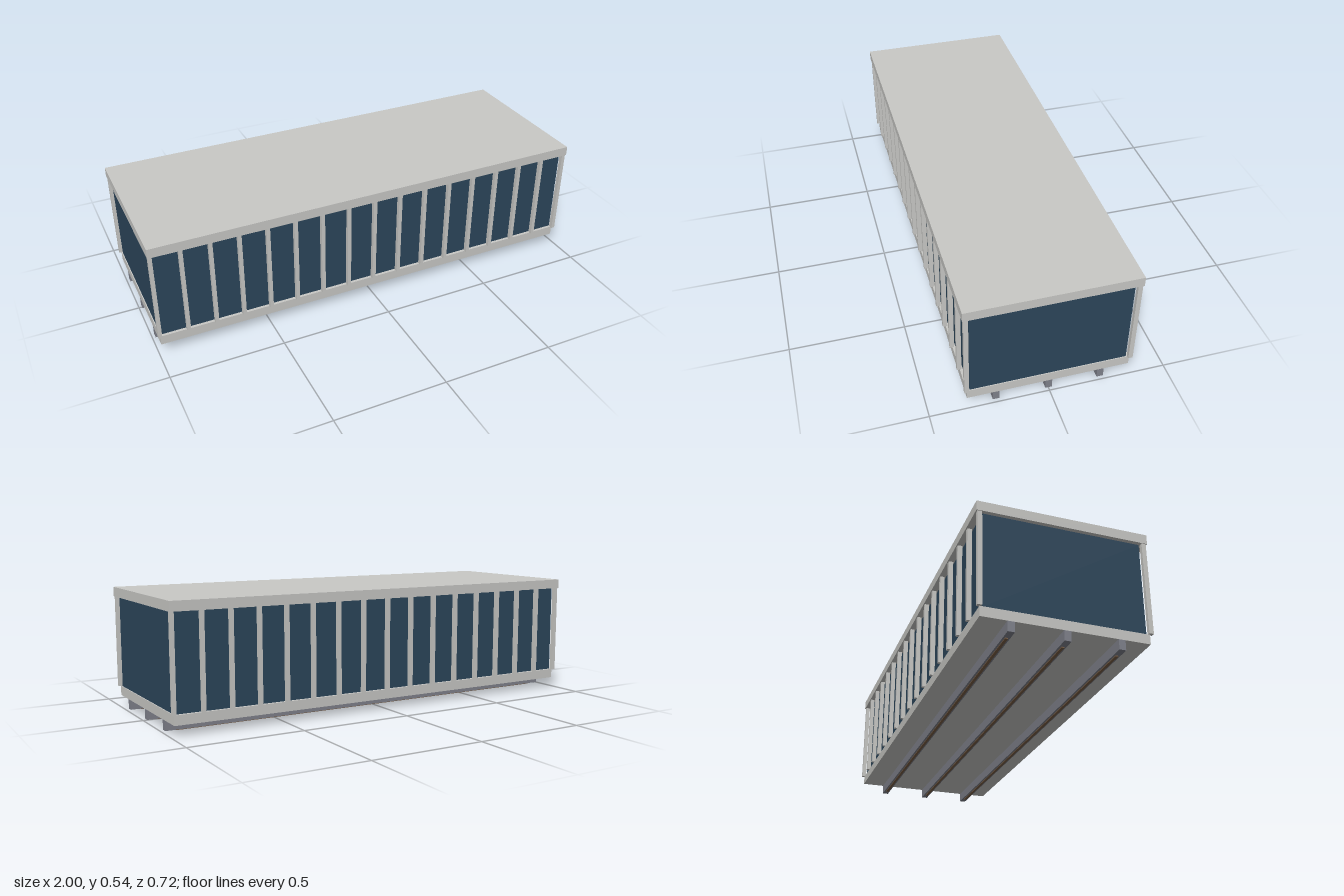
import * as THREE from 'three';

export function createModel() {
  const model = new THREE.Group();
  model.name = 'glazedCabin';

  const mat = (name, color) => {
    const m = new THREE.MeshStandardMaterial({ color });
    m.name = name;
    return m;
  };
  const paleGrey = mat('paleGrey', 0xc9c9c6);
  const darkGlass = mat('darkGlass', 0x2c465b);
  const steel = mat('steelGrey', 0x80828c);
  const brown = mat('brown', 0x7a6048);

  // Box centred on x and z, spanning y0..y1
  const box = (name, material, w, y0, y1, d, x = 0, z = 0) => {
    const mesh = new THREE.Mesh(new THREE.BoxGeometry(w, y1 - y0, d), material);
    mesh.name = name;
    mesh.position.set(x, (y0 + y1) / 2, z);
    model.add(mesh);
  };

  // Roof, glazed body and floor slab
  box('roof', paleGrey, 2, 1.14, 1.182, 0.718);
  box('glassBody', darkGlass, 1.966, 0.734, 1.14, 0.66);
  box('floor', paleGrey, 1.974, 0.692, 0.734, 0.686);

  // Mullions along both long sides
  const bays = 16;
  for (const side of [1, -1]) {
    for (let i = 0; i <= bays; i++) {
      const x = -0.989 + (1.978 * i) / bays;
      box('mullion', paleGrey, 0.016, 0.734, 1.14, 0.019, x, side * 0.345);
    }
  }

  // Three runners below the floor, each with a narrow strip underneath
  for (const z of [-0.222, 0, 0.222]) {
    box('runner', steel, 1.974, 0.649, 0.692, 0.028, 0, z);
    box('runnerStrip', brown, 1.876, 0.645, 0.649, 0.012, 0, z);
  }

  return model;
}
